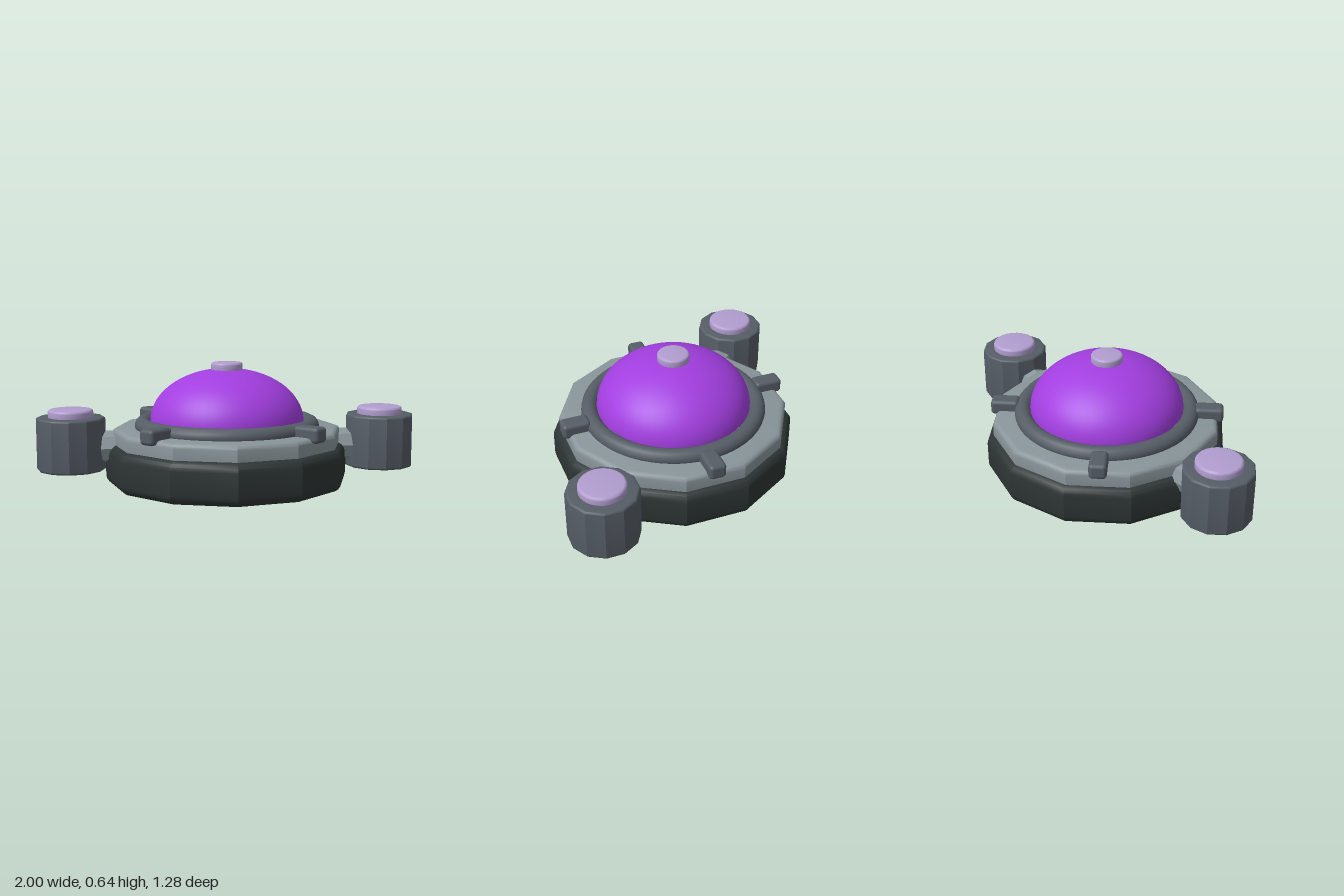
import * as THREE from 'three';
import { toCreasedNormals } from 'three/addons/utils/BufferGeometryUtils.js';
import { RoundedBoxGeometry } from 'three/addons/geometries/RoundedBoxGeometry.js';

const material = (name, color) => {
  const m = new THREE.MeshStandardMaterial({ color });
  m.name = name;
  return m;
};

// Upright disc with rounded rims; few sides give facets, many give a round one
function bevelledDisc(radius, y0, y1, bevel, sides) {
  const pts = [new THREE.Vector2(0, y0)];
  const steps = 4;
  for (let i = 0; i <= steps; i++) {
    const a = (i / steps) * Math.PI / 2;
    pts.push(new THREE.Vector2(radius - bevel + bevel * Math.sin(a), y0 + bevel - bevel * Math.cos(a)));
  }
  for (let i = 0; i <= steps; i++) {
    const a = (i / steps) * Math.PI / 2;
    pts.push(new THREE.Vector2(radius - bevel + bevel * Math.cos(a), y1 - bevel + bevel * Math.sin(a)));
  }
  pts.push(new THREE.Vector2(0, y1));
  return toCreasedNormals(new THREE.LatheGeometry(pts, sides), 0.45);
}

export function createModel() {
  const model = new THREE.Group();
  model.name = 'domedDevice';

  const dark = material('darkCasing', 0x2d3534);
  const light = material('lightMetal', 0x89959a);
  const frame = material('frameMetal', 0x565d66);
  const purple = material('purpleDome', 0xa23ee0);
  const lilac = material('lilacCap', 0xb19dcf);

  const add = (parent, name, geometry, mat) => {
    const mesh = new THREE.Mesh(geometry, mat);
    mesh.name = name;
    parent.add(mesh);
    return mesh;
  };

  // Twelve-sided body in two tiers
  add(model, 'base', bevelledDisc(0.64, 0, 0.22, 0.05, 12), dark);
  add(model, 'topPlate', bevelledDisc(0.605, 0.17, 0.3, 0.028, 12), light);

  // Ring seat around the dome
  const ring = add(model, 'domeRing', new THREE.TorusGeometry(0.443, 0.044, 14, 64), frame);
  ring.rotation.x = Math.PI / 2;
  ring.position.y = 0.311;

  // Flattened dome with a cap on top
  const dome = add(model, 'dome', new THREE.SphereGeometry(0.405, 48, 20, 0, Math.PI * 2, 0, Math.PI / 2), purple);
  dome.scale.y = 0.275 / 0.405;
  dome.position.y = 0.333;
  add(model, 'domeCap', bevelledDisc(0.083, 0.59, 0.64, 0.012, 32), lilac);

  // Four clips holding the ring
  for (let i = 0; i < 4; i++) {
    const a = Math.PI / 4 + i * Math.PI / 2;
    const clip = add(model, 'ringClip', new RoundedBoxGeometry(0.09, 0.08, 0.15, 3, 0.02), frame);
    clip.position.set(Math.sin(a) * 0.54, 0.314, Math.cos(a) * 0.54);
    clip.rotation.y = a;
  }

  // Side pods, each on a short arm
  for (const [side, s] of [['left', 1], ['right', -1]]) {
    const pod = new THREE.Group();
    pod.name = side + 'Pod';
    pod.position.x = s * 0.82;
    model.add(pod);
    add(pod, 'podBody', bevelledDisc(0.18, 0.08, 0.36, 0.012, 12), frame);
    add(pod, 'podCap', bevelledDisc(0.118, 0.34, 0.4, 0.014, 32), lilac);

    const armGeometry = toCreasedNormals(new THREE.CylinderGeometry(0.085, 0.085, 0.3, 8), 0.45);
    const arm = add(pod, 'podArm', armGeometry, light);
    arm.rotation.z = Math.PI / 2;
    arm.position.set(-s * 0.19, 0.2, 0);
  }

  return model;
}
